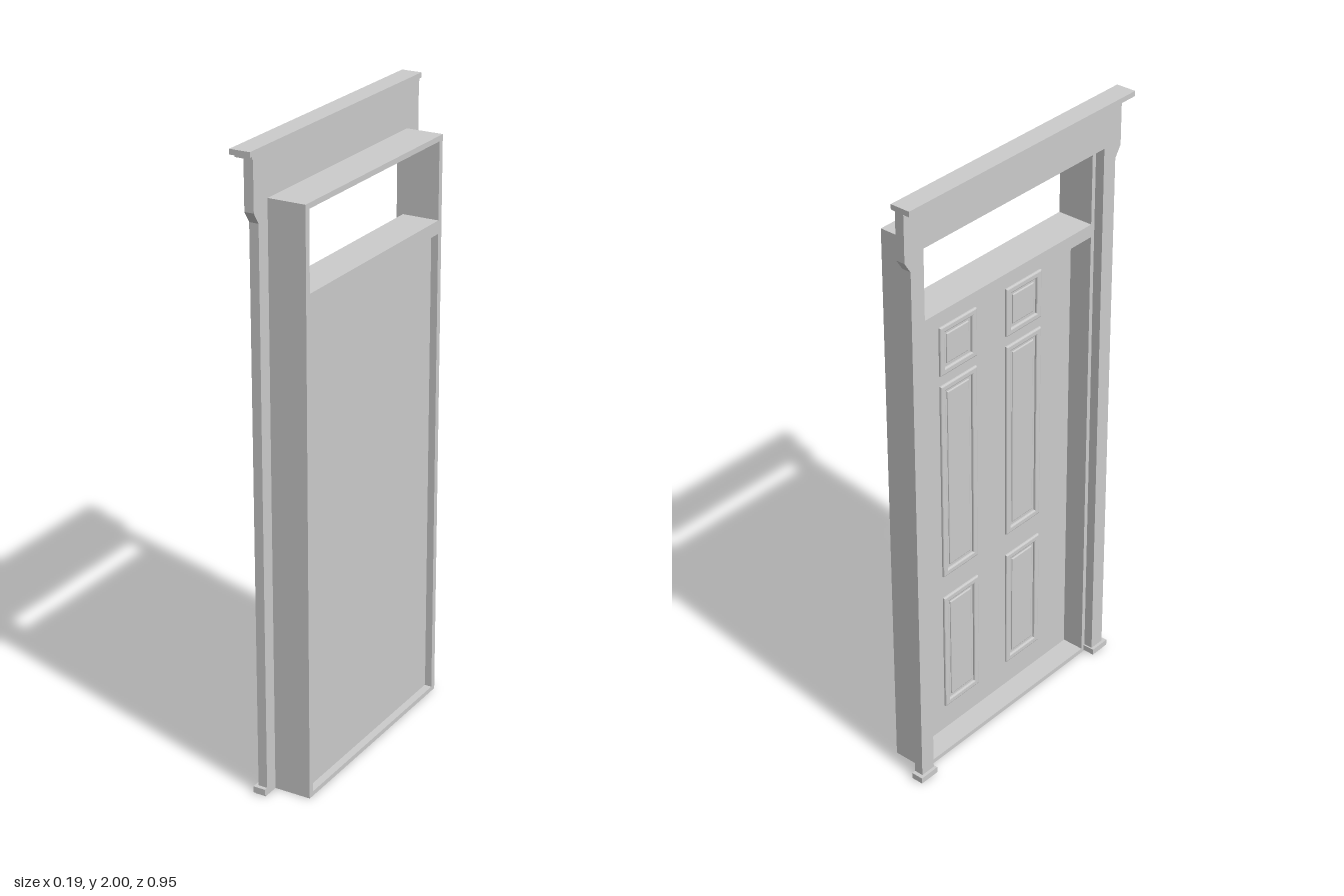
import * as THREE from 'three';

const material = new THREE.MeshStandardMaterial({ color: 0xcccccc });

export function createModel() {
  const group = new THREE.Group();
  group.name = 'panelledDoorway';

  function add(geometry, name) {
    const mesh = new THREE.Mesh(geometry, material);
    mesh.name = name;
    group.add(mesh);
    return mesh;
  }

  // Box given by its limits on each axis
  function box(name, [x0, x1], [y0, y1], [z0, z1]) {
    const mesh = add(new THREE.BoxGeometry(x1 - x0, y1 - y0, z1 - z0), name);
    mesh.position.set((x0 + x1) / 2, (y0 + y1) / 2, (z0 + z1) / 2);
  }

  // Shape drawn in (z, y), extruded from x towards -x
  function extrude(name, shape, x, depth, bevel = 0) {
    const geometry = new THREE.ExtrudeGeometry(shape, {
      depth, bevelEnabled: bevel > 0, bevelSize: bevel, bevelThickness: bevel, bevelSegments: 2,
    });
    geometry.rotateY(-Math.PI / 2);
    add(geometry, name).position.x = x;
  }

  function rectangle(z0, z1, y0, y1) {
    return [[z0, y0], [z1, y0], [z1, y1], [z0, y1]].map(p => new THREE.Vector2(...p));
  }

  // Jamb frame around the door and transom opening
  const jambDepth = [-0.03, 0.09];
  for (const [side, s] of [['left', -1], ['right', 1]]) {
    const span = (a, b) => (s > 0 ? [a, b] : [-b, -a]);
    box(side + 'Jamb', jambDepth, [0, 1.85], span(0.37, 0.39));
    box(side + 'Casing', [-0.06, -0.03], [0.025, 1.84], span(0.385, 0.437));
    box(side + 'Plinth', [-0.07, -0.03], [0.005, 0.025], span(0.38, 0.45));
    box(side + 'PlinthFoot', [-0.065, -0.03], [0, 0.005], span(0.385, 0.445));
  }
  box('headJamb', jambDepth, [1.833, 1.85], [-0.37, 0.37]);
  box('transomBar', jambDepth, [1.548, 1.59], [-0.37, 0.37]);
  box('sill', jambDepth, [0, 0.015], [-0.37, 0.37]);

  // Header board with tapered ends that drop over the casings
  const header = new THREE.Shape([
    [-0.46, 1.978], [-0.46, 1.825], [-0.437, 1.79], [-0.385, 1.79], [-0.385, 1.84],
    [0.385, 1.84], [0.385, 1.79], [0.437, 1.79], [0.46, 1.825], [0.46, 1.978],
  ].map(p => new THREE.Vector2(...p)));
  extrude('header', header, -0.03, 0.03);
  box('headerCap', [-0.095, -0.03], [1.984, 2], [-0.475, 0.475]);
  box('headerCapLip', [-0.085, -0.03], [1.976, 1.984], [-0.465, 0.465]);

  // Door leaf
  const face = 0.04;
  box('doorLeaf', [face, 0.07], [0.02, 1.543], [-0.364, 0.364]);

  // Six panels, each a rounded moulding around a raised field
  for (const [y0, y1] of [[0.11, 0.53], [0.61, 1.285], [1.32, 1.48]]) {
    for (const [z0, z1] of [[-0.222, -0.066], [0.066, 0.222]]) {
      const ring = new THREE.Shape(rectangle(z0 + 0.004, z1 - 0.004, y0 + 0.004, y1 - 0.004));
      ring.holes.push(new THREE.Path(rectangle(z0 + 0.016, z1 - 0.016, y0 + 0.016, y1 - 0.016).reverse()));
      extrude('panelMoulding', ring, face, 0.004, 0.004);
      const field = new THREE.Shape(rectangle(z0 + 0.034, z1 - 0.034, y0 + 0.034, y1 - 0.034));
      extrude('panelField', field, face, 0.001, 0.003);
    }
  }

  return group;
}
